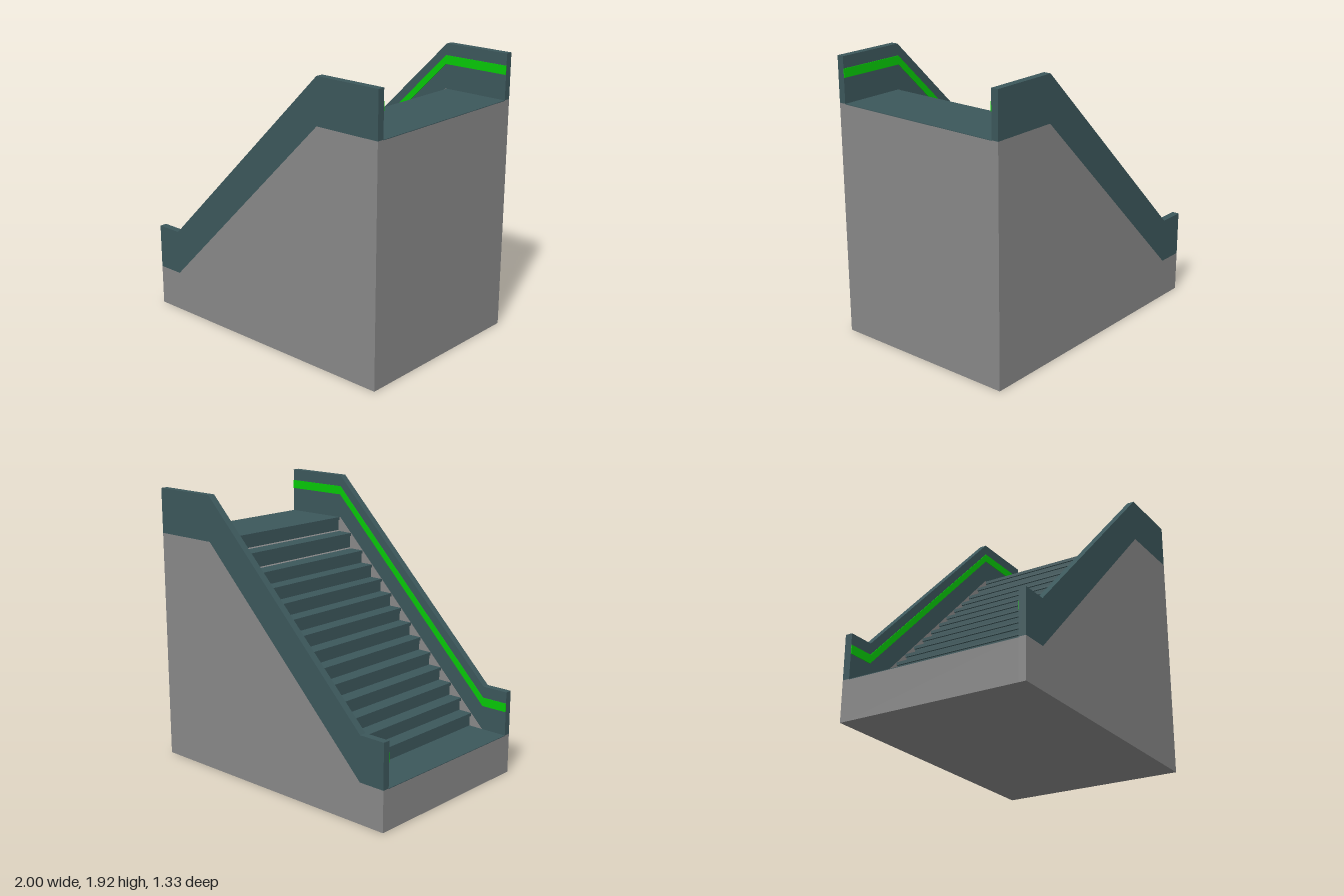
import * as THREE from 'three';

const HALF_WIDTH = 0.667, INNER = 0.617, WALL = HALF_WIDTH - INNER;
const LOW = 0.28, HIGH = 1.61, FOOT = -0.81, HEAD = 0.52;

// Flat profile in x/y, extruded along z from z0
function slab(name, points, z0, depth, material) {
  const shape = new THREE.Shape(points.map(([x, y]) => new THREE.Vector2(x, y)));
  const geometry = new THREE.ExtrudeGeometry(shape, { depth, bevelEnabled: false });
  geometry.translate(0, 0, z0);
  const mesh = new THREE.Mesh(geometry, material);
  mesh.name = name;
  return mesh;
}

// Box spanning the stair between the side walls
function plank(name, x0, x1, y0, y1, material) {
  const mesh = new THREE.Mesh(new THREE.BoxGeometry(x1 - x0, y1 - y0, INNER * 2), material);
  mesh.position.set((x0 + x1) / 2, (y0 + y1) / 2, 0);
  mesh.name = name;
  return mesh;
}

// Line following landing, slope and landing, raised by h
const path = (h) => [[-1, LOW + h], [FOOT, LOW + h], [HEAD, HIGH + h], [1, HIGH + h]];
const band = (h0, h1) => [...path(h0), ...path(h1).reverse()];

export function createModel() {
  const model = new THREE.Group();
  const concrete = new THREE.MeshStandardMaterial({ color: 0x888888 });
  concrete.name = 'concrete grey';
  const panel = new THREE.MeshStandardMaterial({ color: 0x3c575b });
  panel.name = 'dark teal';
  const light = new THREE.MeshStandardMaterial({ color: 0x06c806 });
  light.name = 'bright green';

  // Solid core beneath the stair
  model.add(slab('core', [[-1, 0], [1, 0], [1, HIGH - 0.004], [0.56, HIGH - 0.004],
    [0.56, 1.53], [-0.7, 0.27], [-0.7, LOW - 0.004], [-1, LOW - 0.004]], -INNER, INNER * 2, concrete));

  // Side bases, parapets and green stripes
  for (const side of [-1, 1]) {
    const z0 = side > 0 ? INNER : -HALF_WIDTH;
    model.add(slab('sideBase', [[-1, 0], [1, 0], ...path(0).reverse()], z0, WALL, concrete));
    model.add(slab('parapet', band(0, 0.31), z0, WALL, panel));
    const stripeZ = side > 0 ? INNER - 0.005 : -INNER;
    model.add(slab('greenStripe', band(0.17, 0.23), stripeZ, 0.005, light));
  }

  // Landings
  model.add(plank('lowerLanding', -1, -0.69, LOW - 0.004, LOW, panel));
  model.add(plank('upperLanding', 0.53, 1, HIGH - 0.004, HIGH, panel));

  // Steps with a slightly overhanging nosing
  const fronts = [-0.715, -0.624, -0.532, -0.44, -0.347, -0.254, -0.162, -0.07,
    0.023, 0.115, 0.208, 0.3, 0.415, 0.53];
  let below = LOW;
  fronts.forEach((x, i) => {
    const last = i === fronts.length - 1;
    const top = last ? HIGH : x + 1.09;
    const back = last ? x + 0.04 : fronts[i + 1] + 0.02;
    model.add(plank('tread', x, back, top - 0.022, top - (last ? 0.002 : 0), panel));
    model.add(plank('riser', x + 0.012, x + 0.024, below - 0.01, top - 0.02, panel));
    below = top;
  });
  return model;
}
